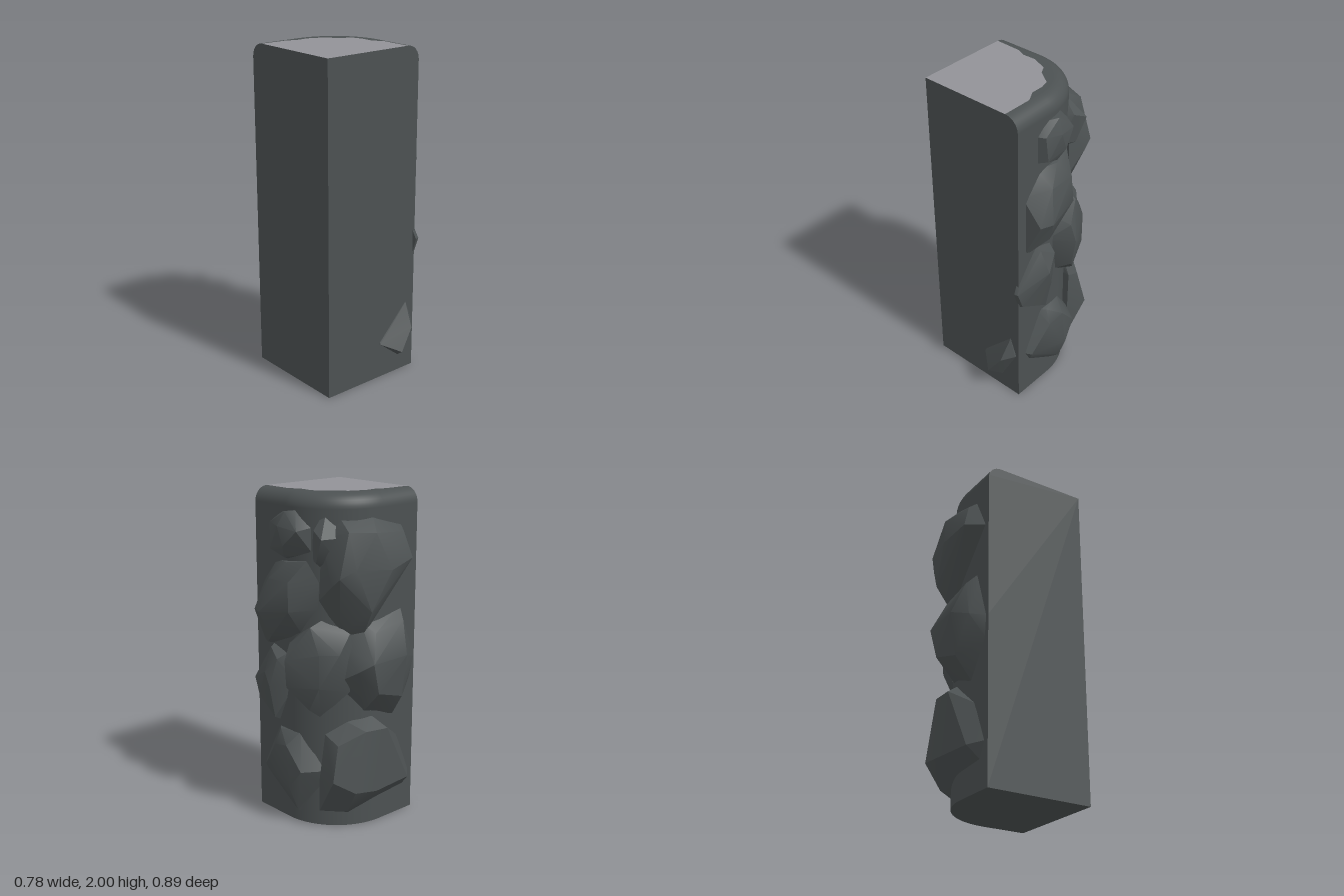
import * as THREE from 'three';
import { toCreasedNormals } from 'three/addons/utils/BufferGeometryUtils.js';
import { ConvexGeometry } from 'three/addons/geometries/ConvexGeometry.js';

const darkStone = new THREE.MeshStandardMaterial({ color: 0x4c5152 });
darkStone.name = 'dark stone';
const paleStone = new THREE.MeshStandardMaterial({ color: 0x929297 });
paleStone.name = 'pale worn stone';

const LEFT = -0.395, RIGHT = 0.27, BACK = -0.315, FRONT = 0.35, TOP = 2;
const CORNER = 0.39, BEVEL = 0.085;

// Footprint edge from the back left corner round to the front right, inset by d
function outline(d) {
  const pts = [[LEFT, BACK + d]];
  for (let i = 0; i <= 24; i++) {
    const a = (i / 24) * Math.PI / 2;
    pts.push([RIGHT - CORNER + (CORNER - d) * Math.sin(a), BACK + CORNER - (CORNER - d) * Math.cos(a)]);
  }
  pts.push([RIGHT - d, FRONT]);
  return pts;
}

// Rounded top edge as [inset, height]
const rows = [[0, 0], [0, 1.0]];
for (let i = 0; i <= 8; i++) {
  const a = (i / 8) * Math.PI / 2;
  rows.push([BEVEL * (1 - Math.cos(a)), TOP - BEVEL + BEVEL * Math.sin(a)]);
}

// Worn edge of the pale top
const wornEdge = [[-0.395, -0.228], [-0.23, -0.222], [-0.17, -0.197], [-0.093, -0.2], [0.009, -0.16],
  [0.037, -0.11], [0.127, -0.045], [0.143, 0.01], [0.143, 0.09], [0.183, 0.16], [0.183, 0.35]];

const flat = (pts) => new THREE.ShapeGeometry(new THREE.Shape(pts.map(([x, y]) => new THREE.Vector2(x, y))));
const facingUp = (pts) => flat(pts.map(([x, z]) => [x, -z])).rotateX(-Math.PI / 2).translate(0, TOP, 0);

function curvedWall() {
  const pos = [], index = [];
  let n = 0;
  rows.forEach(([d, y], r) => {
    const pts = outline(d);
    n = pts.length;
    pts.forEach(([x, z], c) => {
      pos.push(x, y, z);
      if (r > 0 && c > 0) {
        const b = r * n + c, a = b - n;
        index.push(a - 1, b - 1, a, a, b - 1, b);
      }
    });
  });
  const g = new THREE.BufferGeometry();
  g.setAttribute('position', new THREE.Float32BufferAttribute(pos, 3));
  g.setIndex(index);
  g.computeVertexNormals();
  return g;
}

// Boulders: each is the hull of its buried rim and its raised corners, as [x, y, z]
const rocks = {
  upperSideRock: [
    [0.25, 1.82, 0.2], [0.25, 1.88, 0.13], [0.26, 1.9, 0], [0.22, 1.81, -0.1], [0.22, 1.66, -0.1],
    [0.25, 1.61, 0.06], [0.25, 1.65, 0.2],
    [0.3, 1.89, 0.05], [0.31, 1.82, 0.17], [0.34, 1.81, 0.07], [0.335, 1.7, 0.03], [0.32, 1.67, 0.16],
    [0.31, 1.79, -0.06], [0.3, 1.63, 0.06]],
  upperWedgeRock: [
    [0.15, 1.92, -0.14], [0.12, 1.76, -0.26], [0.12, 1.6, -0.22], [0.19, 1.58, -0.14], [0.2, 1.62, -0.06],
    [0.2, 1.79, -0.09], [0.27, 1.76, -0.225], [0.25, 1.8, -0.14], [0.25, 1.62, -0.16]],
  upperBackRock: [
    [-0.375, 1.6, -0.3], [-0.27, 1.81, -0.3], [-0.05, 1.87, -0.3], [0.12, 1.86, -0.22], [0.2, 1.75, -0.15],
    [0.22, 1.4, -0.15], [0.02, 1.18, -0.3], [0.12, 1.2, -0.22],
    [-0.27, 1.62, -0.405], [-0.08, 1.58, -0.435], [0.15, 1.6, -0.385], [0.225, 1.55, -0.33], [0, 1.79, -0.385],
    [0.05, 1.35, -0.405], [0.15, 1.8, -0.32], [0.23, 1.5, -0.27], [-0.24, 1.77, -0.36]],
  middleBackRock: [
    [-0.385, 1.0, -0.3], [-0.28, 1.32, -0.3], [0.02, 1.26, -0.29], [0.13, 1.14, -0.22], [0.16, 0.9, -0.2],
    [0, 0.72, -0.29], [-0.22, 0.64, -0.3], [-0.37, 0.85, -0.3],
    [-0.2, 1.06, -0.445], [0.055, 1.05, -0.435], [-0.31, 1.02, -0.39], [-0.2, 0.8, -0.41], [0, 0.86, -0.42],
    [-0.24, 1.25, -0.37], [-0.02, 1.21, -0.37], [0.12, 1.0, -0.37]],
  cornerRock: [
    [0.17, 1.29, -0.15], [0.1, 1.21, -0.28], [0.08, 1.05, -0.3], [0.1, 0.86, -0.28], [0.2, 0.69, -0.14],
    [0.24, 0.8, 0.02], [0.24, 1.05, 0.07], [0.24, 1.18, 0],
    [0.28, 1.1, -0.215], [0.38, 1.05, -0.03], [0.36, 0.88, -0.02], [0.28, 0.9, -0.215], [0.28, 1.25, -0.14],
    [0.34, 1.15, -0.03], [0.19, 1.1, -0.29], [0.28, 0.75, -0.13]],
  largeSideRock: [
    [0.25, 1.47, 0.29], [0.25, 1.6, 0.18], [0.25, 1.62, -0.08], [0.21, 1.5, -0.14], [0.21, 1.34, -0.13],
    [0.23, 1.16, -0.03], [0.25, 1.07, 0.22], [0.25, 1.06, 0.29],
    [0.39, 1.3, 0.19], [0.36, 1.3, 0.265], [0.345, 1.5, 0.15], [0.34, 1.5, -0.02], [0.35, 1.33, -0.03],
    [0.29, 1.6, 0.05], [0.33, 1.15, 0.15]],
  middleSideRock: [
    [0.26, 0.84, 0.375], [0.25, 0.95, 0.32], [0.25, 1.1, 0.2], [0.25, 1.06, 0.07], [0.24, 0.87, 0.03],
    [0.25, 0.61, 0.15], [0.26, 0.72, 0.34],
    [0.36, 0.93, 0.18], [0.33, 1.02, 0.1], [0.285, 0.84, 0.37], [0.31, 0.64, 0.15], [0.35, 0.84, 0.15],
    [0.3, 1.07, 0.19], [0.285, 0.73, 0.33]],
  lowerSideRock: [
    [0.25, 0.32, 0.31], [0.25, 0.585, 0.17], [0.25, 0.58, -0.02], [0.2, 0.36, -0.18], [0.2, 0.29, -0.16],
    [0.24, 0.05, -0.02], [0.25, 0.2, 0.24],
    [0.335, 0.5, 0.02], [0.325, 0.36, -0.1], [0.34, 0.24, -0.01], [0.33, 0.48, 0.13], [0.3, 0.3, 0.26],
    [0.28, 0.08, -0.02], [0.29, 0.57, 0.12]],
  lowerBackRock: [
    [-0.375, 0.27, -0.3], [-0.28, 0.5, -0.3], [-0.05, 0.69, -0.3], [0.1, 0.67, -0.26], [0.21, 0.6, -0.19],
    [0.22, 0.1, -0.15], [0.08, 0.08, -0.25], [-0.32, 0.16, -0.3], [0.23, 0.3, -0.16],
    [-0.29, 0.25, -0.385], [-0.1, 0.62, -0.395], [0.06, 0.63, -0.38], [0, 0.25, -0.41], [0.15, 0.27, -0.39],
    [0.255, 0.34, -0.31], [0.2, 0.55, -0.29], [0.13, 0.12, -0.3]],
  smallFrontRock: [
    [0.207, 0.44, 0.33], [0.25, 0.32, 0.33], [0.14, 0.11, 0.33], [0, 0.22, 0.33], [0.01, 0.25, 0.33],
    [0.207, 0.44, 0.352], [0.25, 0.32, 0.36], [0.14, 0.11, 0.36], [0, 0.22, 0.36],
    [0.1, 0.17, 0.443], [0.19, 0.3, 0.427]],
};

export function createModel() {
  const model = new THREE.Group();
  const add = (name, geometry, material = darkStone) => {
    const mesh = new THREE.Mesh(geometry, material);
    mesh.name = name;
    model.add(mesh);
  };

  // Pillar body
  add('curvedWall', curvedWall());
  add('frontFace', flat([[LEFT, 0], ...rows.map(([d, y]) => [RIGHT - d, y]), [LEFT, TOP]]).translate(0, 0, FRONT));
  add('flatSideFace', flat([[FRONT, 0], ...rows.map(([d, y]) => [BACK + d, y]), [FRONT, TOP]])
    .rotateY(-Math.PI / 2).translate(LEFT, 0, 0));
  add('underside', flat([...outline(0), [LEFT, FRONT]]).rotateX(Math.PI / 2));

  // Top: dark rim around a pale worn patch
  add('topRim', facingUp([...outline(BEVEL), ...[...wornEdge].reverse()]));
  add('topPatch', facingUp([...wornEdge, [LEFT, FRONT]]), paleStone);

  // Boulders set into the curved wall
  for (const [name, pts] of Object.entries(rocks)) {
    const hull = new ConvexGeometry(pts.map((p) => new THREE.Vector3(...p)));
    add(name, toCreasedNormals(hull, 0.5));
  }
  return model;
}
